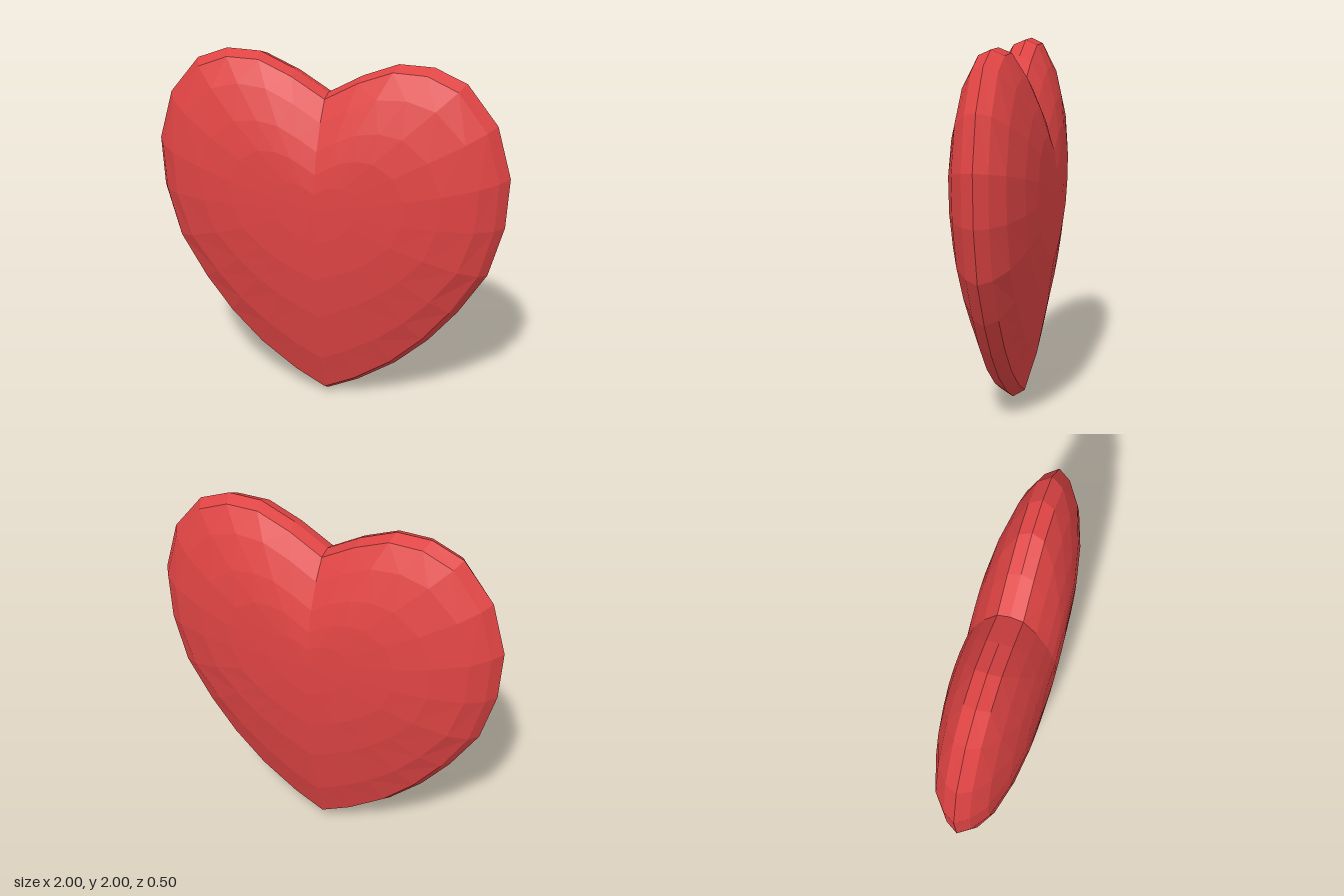
import * as THREE from 'three';

// Right half of the heart outline, from the notch down to the tip
const HALF = [
  [0, 1.81], [0.19, 1.92], [0.385, 2.0], [0.575, 2.0], [0.75, 1.93], [0.92, 1.72], [1.0, 1.44],
  [0.985, 1.16], [0.905, 0.87], [0.75, 0.62], [0.59, 0.42], [0.4, 0.24], [0.18, 0.09], [0, 0],
];
const CENTRE_Y = 1.22;

// Each ring: depth, scale of the outline towards the top and tip, scale towards the sides
const RINGS = [
  [0, 1, 1],
  [0.068, 0.965, 0.955],
  [0.138, 0.78, 0.865],
  [0.198, 0.54, 0.68],
  [0.231, 0.34, 0.49],
  [0.246, 0.16, 0.24],
];

// One puffed face of the heart; side is 1 for the front and -1 for the back
function addFace(positions, side) {
  const mirrored = HALF.slice(1, -1).reverse().map(([x, y]) => [-x, y]);
  const outline = [...HALF, ...mirrored];
  const n = outline.length;
  const rings = RINGS.map(([depth, ends, sides]) => outline.map(([x, y]) => {
    const s = THREE.MathUtils.lerp(ends, sides, x * x);
    return [x * s, CENTRE_Y + (y - CENTRE_Y) * s, side * depth];
  }));
  const triangle = (a, b, c) => positions.push(...a, ...(side > 0 ? [...b, ...c] : [...c, ...b]));

  for (let i = 0; i < n; i++) {
    const j = (i + 1) % n;
    for (let r = 0; r < rings.length - 1; r++) {
      const a = rings[r][i], b = rings[r][j], c = rings[r + 1][j], d = rings[r + 1][i];
      // Diagonals mirror across the middle
      if (i < n / 2) {
        triangle(a, c, b);
        triangle(a, d, c);
      } else {
        triangle(a, d, b);
        triangle(b, d, c);
      }
    }
    // Close the middle with a fan
    const last = rings[rings.length - 1];
    triangle(last[i], [0, CENTRE_Y, side * 0.249], last[j]);
  }
}

export function createModel() {
  const group = new THREE.Group();
  group.name = 'heart';

  const positions = [];
  addFace(positions, 1);
  addFace(positions, -1);
  const geometry = new THREE.BufferGeometry();
  geometry.setAttribute('position', new THREE.Float32BufferAttribute(positions, 3));
  geometry.computeVertexNormals();

  const body = new THREE.Mesh(
    geometry,
    new THREE.MeshStandardMaterial({ color: 0xe04444, flatShading: true }),
  );
  body.name = 'heartBody';
  group.add(body);
  return group;
}
